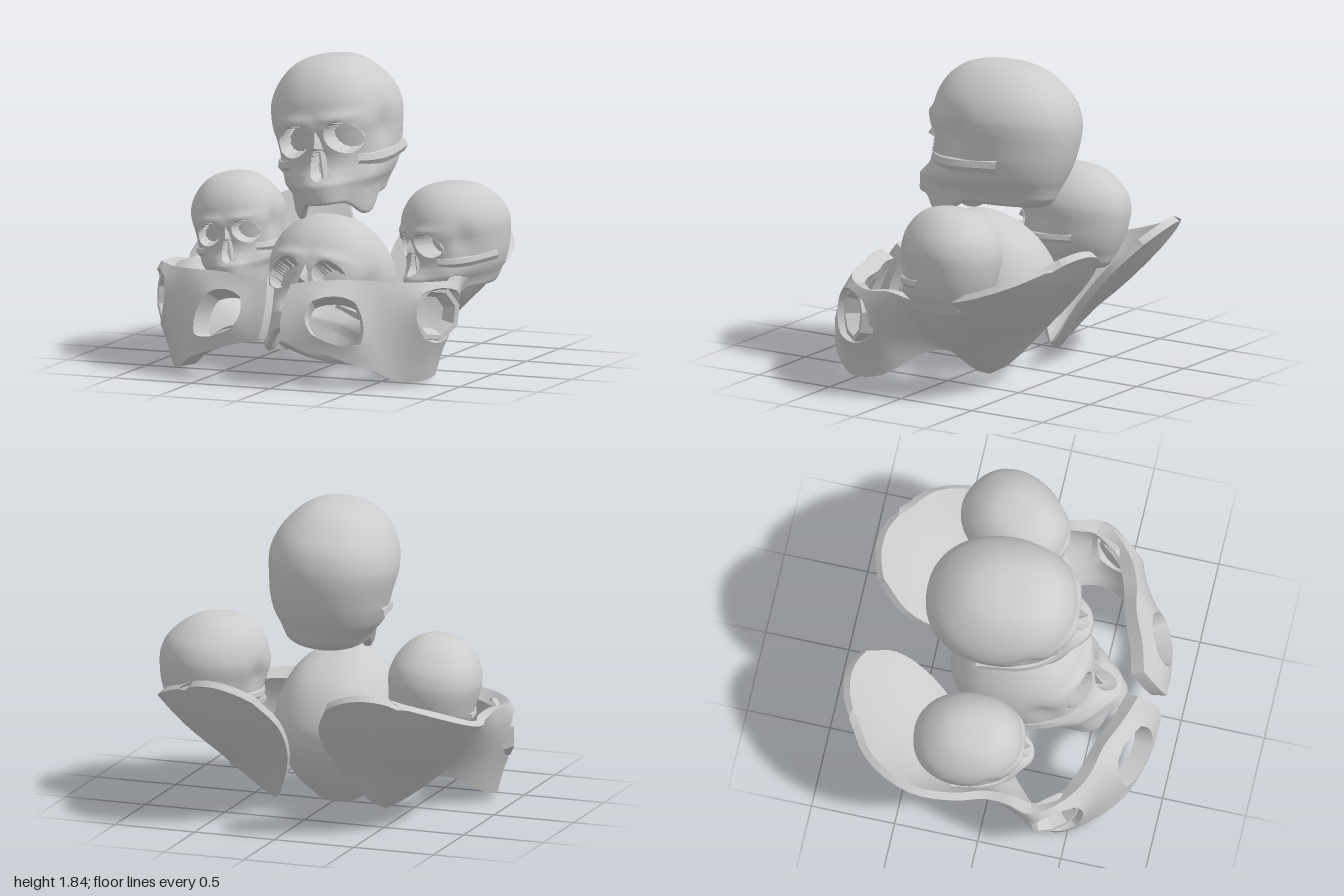
import * as THREE from 'three';
import { toCreasedNormals } from 'three/addons/utils/BufferGeometryUtils.js';
import { ConvexGeometry } from 'three/addons/geometries/ConvexGeometry.js';

const bone = new THREE.MeshStandardMaterial({ color: 0xcccccc });
const boneThin = new THREE.MeshStandardMaterial({ color: 0xcccccc, side: THREE.DoubleSide });
const V = (x, y, z) => new THREE.Vector3(x, y, z);
const smooth = THREE.MathUtils.smoothstep;
const power = (v, e) => Math.sign(v) * Math.abs(v) ** e;

function fromTriangles(pos, crease) {
  const g = new THREE.BufferGeometry();
  g.setAttribute('position', new THREE.Float32BufferAttribute(pos, 3));
  return toCreasedNormals(g, crease);
}
function quad(pos, a, b, c, d) {
  for (const p of [a, b, c, a, c, d]) pos.push(p.x, p.y, p.z);
}
// Mirror across x = 0, keeping faces turned outward
function mirrored(geo, crease) {
  const src = (geo.index ? geo.toNonIndexed() : geo).attributes.position;
  const pos = [];
  for (let i = 0; i < src.count; i += 3)
    for (const k of [0, 2, 1]) pos.push(-src.getX(i + k), src.getY(i + k), src.getZ(i + k));
  return fromTriangles(pos, crease);
}
function add(parent, name, geo, mat = bone) {
  const m = new THREE.Mesh(geo, mat);
  m.name = name;
  parent.add(m);
}

// ---- Skull: horizontal rings [y, half width, front z, back z], crown to hollow base
const rings = [
  [.41, 0, .03, .03], [.40, .11, .16, -.10], [.365, .20, .27, -.22], [.29, .285, .36, -.33],
  [.19, .35, .415, -.42], [.09, .38, .435, -.455], [.02, .38, .45, -.46], [-.04, .37, .44, -.455],
  [-.10, .36, .43, -.445], [-.16, .35, .42, -.43], [-.22, .335, .43, -.41], [-.27, .32, .47, -.39],
  [-.31, .30, .51, -.37], [-.345, .275, .515, -.355], [-.38, .255, .515, -.34], [-.42, .235, .51, -.30],
  [-.425, .19, .475, -.26], [-.36, .15, .43, -.20], [-.32, 0, .10, .10],
];
// Sink the shell inside an opening; vertices near its outline snap onto it
function sink(p, cx, cy, q, depth) {
  if (q > 1.05) return;
  if (q > .84) {
    p.x = cx + (p.x - cx) / q;
    p.y = cy + (p.y - cy) / q;
  } else p.z -= depth;
}
function skullShell() {
  const a = new THREE.CatmullRomCurve3(rings.map(r => V(r[0], r[1], r[2])));
  const b = new THREE.CatmullRomCurve3(rings.map(r => V(r[0], r[1], r[3])));
  const rows = 92, cols = 104, grid = [];
  for (let i = 0; i <= rows; i++) {
    const f = a.getPoint(i / rows), k = b.getPoint(i / rows).z;
    const w = Math.max(0, f.y), zc = (f.z + k) / 2, rz = (f.z - k) / 2;
    grid.push([]);
    for (let j = 0; j <= cols; j++) {
      const u = (j / cols) * Math.PI * 2, t = u - .5 * Math.sin(u);
      const p = V(w * power(Math.sin(t), .9), f.x, zc + rz * power(Math.cos(t), .92));
      // hollow temples, muzzle narrowing to the front
      p.x *= 1 - .1 * Math.exp(-(((p.z - .17) / .09) ** 2) - ((p.y + .03) / .12) ** 2);
      p.x *= 1 - .22 * smooth(p.z, .28, .46) * smooth(-p.y, .2, .3);
      if (p.z > .12 && i < rows * .8) {
        // brow ridge, eye sockets, nasal opening
        p.z += .02 * Math.exp(-(((p.y - .07) / .03) ** 2) - ((Math.abs(p.x) - .14) / .12) ** 2);
        const ex = .155 * (p.x < 0 ? -1 : 1), ey = -.05;
        sink(p, ex, ey, Math.hypot((p.x - ex) / .108, (p.y - ey + .2 * (Math.abs(p.x) - .155)) / .095), .16);
        const hw = .06 * (1 - 4.5 * THREE.MathUtils.clamp(p.y + .19, -.11, .11));
        sink(p, 0, -.19, Math.hypot(p.x / hw, (p.y + .19) / .1), .12);
      }
      // tooth arch dips toward its rear corners
      if (p.y < -.37) p.y -= .09 * smooth(.47 - p.z, 0, .16) * smooth(p.z, .1, .27) * smooth(Math.abs(p.x), .08, .2);
      grid[i].push(p);
    }
  }
  const pos = [];
  for (let i = 0; i < rows; i++)
    for (let j = 0; j < cols; j++) quad(pos, grid[i][j], grid[i + 1][j], grid[i + 1][j + 1], grid[i][j + 1]);
  return fromTriangles(pos, .7);
}

function skullParts() {
  const path = new THREE.CatmullRomCurve3([V(.19, -.19, .33), V(.255, -.20, .26), V(.305, -.20, .14), V(.325, -.18, -.14)]);
  const cheek = toCreasedNormals(new THREE.TubeGeometry(path, 14, .045, 7), .8);
  return [
    ['cranium', skullShell()],
    ['nasalBone', new ConvexGeometry([V(0, .01, .45), V(.035, -.01, .40), V(-.035, -.01, .40),
      V(0, -.09, .50), V(.035, -.11, .42), V(-.035, -.11, .42), V(0, -.03, .36)])],
    ['nasalSeptum', new THREE.BoxGeometry(.012, .16, .1).translate(0, -.2, .36)],
    ['leftCheekbone', cheek], ['rightCheekbone', mirrored(cheek, .8)],
  ];
}

// ---- Hip bone: sections [upper edge, middle, lower edge], from blade to pubis
const sections = [
  [V(.66, .83, -.82), V(.45, .87, -.90), V(.23, .79, -.85)],
  [V(.86, .75, -.67), V(.51, .61, -.69), V(.13, .61, -.69)],
  [V(.96, .65, -.41), V(.60, .37, -.40), V(.15, .36, -.47)],
  [V(.93, .59, -.15), V(.66, .27, -.15), V(.34, .04, -.16)],
  [V(.87, .57, .03), V(.73, .38, .05), V(.47, .18, .01)],
  [V(.88, .59, .18), V(.83, .38, .20), V(.62, .18, .13)],
  [V(.90, .58, .31), V(.88, .38, .34), V(.76, .06, .30)],
  [V(.78, .57, .47), V(.81, .36, .52), V(.77, .03, .43)],
  [V(.62, .58, .56), V(.64, .35, .63), V(.66, .03, .60)],
  [V(.42, .58, .61), V(.46, .36, .74), V(.52, .12, .75)],
  [V(.22, .58, .69), V(.25, .38, .81), V(.29, .21, .84)],
  [V(.07, .56, .73), V(.05, .40, .82), V(.07, .26, .86)],
];
// hole rectangles in grid cells: [first row, last row, first column, last column]
const holes = [[35, 41, 2, 8], [23, 29, 1, 7]];

function hipSlab() {
  const rows = 44, cols = 10;
  const curves = [0, 1, 2].map(k => new THREE.CatmullRomCurve3(sections.map(s => s[k])));
  const point = (s, v) => {
    const [T, M, B] = curves.map(c => c.getPoint(THREE.MathUtils.clamp(s / rows, 0, 1)));
    const w = v / cols, ctrl = M.multiplyScalar(2).addScaledVector(T, -.5).addScaledVector(B, -.5);
    return T.multiplyScalar((1 - w) ** 2).addScaledVector(ctrl, 2 * w * (1 - w)).addScaledVector(B, w * w);
  };
  const outer = [], inner = [];
  for (let i = 0; i <= rows; i++) {
    outer.push([]); inner.push([]);
    for (let j = 0; j <= cols; j++) {
      let s = i, v = j, rim = 0;
      for (const [r0, r1, c0, c1] of holes) {
        // round the hole outline and thicken its rim
        const a = (2 * i - r0 - r1) / (r1 - r0), b = (2 * j - c0 - c1) / (c1 - c0);
        if (Math.abs(Math.max(Math.abs(a), Math.abs(b)) - 1) < 1e-6) {
          const q = Math.hypot(a, b) ** -.75;
          s = (r0 + r1 + a * q * (r1 - r0)) / 2;
          v = (c0 + c1 + b * q * (c1 - c0)) / 2;
          rim = .012;
        }
      }
      const p = point(s, v);
      const ds = point(s + .3, v).sub(point(s - .3, v)), dv = point(s, v + .3).sub(point(s, v - .3));
      const n = ds.cross(dv).normalize();
      const half = .024 + .022 * smooth(i, 14, 28) + rim;
      outer[i].push(p.clone().addScaledVector(n, half));
      inner[i].push(p.clone().addScaledVector(n, -half));
    }
  }
  const solid = (i, j) => i >= 0 && j >= 0 && i < rows && j < cols &&
    !holes.some(([r0, r1, c0, c1]) => i >= r0 && i < r1 && j >= c0 && j < c1);
  const pos = [];
  for (let i = 0; i < rows; i++) for (let j = 0; j < cols; j++) {
    if (!solid(i, j)) continue;
    const c = [[i, j], [i + 1, j], [i + 1, j + 1], [i, j + 1]];
    const o = c.map(([r, k]) => outer[r][k]), n = c.map(([r, k]) => inner[r][k]);
    quad(pos, ...o);
    quad(pos, n[3], n[2], n[1], n[0]);
    [[i, j - 1], [i + 1, j], [i, j + 1], [i - 1, j]].forEach(([r, k], e) => {
      const f = (e + 1) % 4;
      if (!solid(r, k)) quad(pos, o[f], o[e], n[e], n[f]);
    });
  }
  return fromTriangles(pos, .5);
}
// Hip socket: shallow faceted cup with a raised rim, facing outward and forward
function hipSocket() {
  const profile = [[.001, -.07], [.10, -.05], [.135, .035], [.165, .035], [.18, -.04]].map(p => new THREE.Vector2(...p));
  const g = new THREE.LatheGeometry(profile, 8, Math.PI / 8);
  g.applyQuaternion(new THREE.Quaternion().setFromUnitVectors(V(0, 1, 0), V(.8, .05, .6).normalize()));
  return toCreasedNormals(g.translate(.84, .41, .43), .4);
}

export function createModel() {
  const model = new THREE.Group();
  model.name = 'skullPile';

  // name, position, scale, pitch, yaw, roll (degrees)
  const parts = skullParts(), rad = Math.PI / 180;
  for (const [name, pos, size, pitch, yaw, roll] of [
    ['topSkull', [-.02, 1.42, -.06], 1, 0, 6, 8],
    ['lowerSkull', [-.01, .48, .07], .96, -23, 0, -3],
    ['rightSmallSkull', [-.675, .785, -.12], .72, 0, 9, 8],
    ['leftSmallSkull', [.695, .80, -.15], .74, 0, -31, 6],
  ]) {
    const skull = new THREE.Group();
    skull.name = name;
    for (const [part, geo] of parts) add(skull, part, geo);
    skull.position.set(...pos);
    skull.scale.setScalar(size);
    skull.rotation.set(pitch * rad, yaw * rad, roll * rad, 'ZYX');
    model.add(skull);
  }

  const slab = hipSlab(), socket = hipSocket();
  for (const side of ['left', 'right']) {
    const hip = new THREE.Group();
    hip.name = side + 'HipBone';
    hip.position.x = -.04;
    const make = g => (side === 'left' ? g : mirrored(g, .5));
    add(hip, 'hipBlade', make(slab));
    add(hip, 'hipSocket', make(socket), boneThin);
    model.add(hip);
  }
  return model;
}
